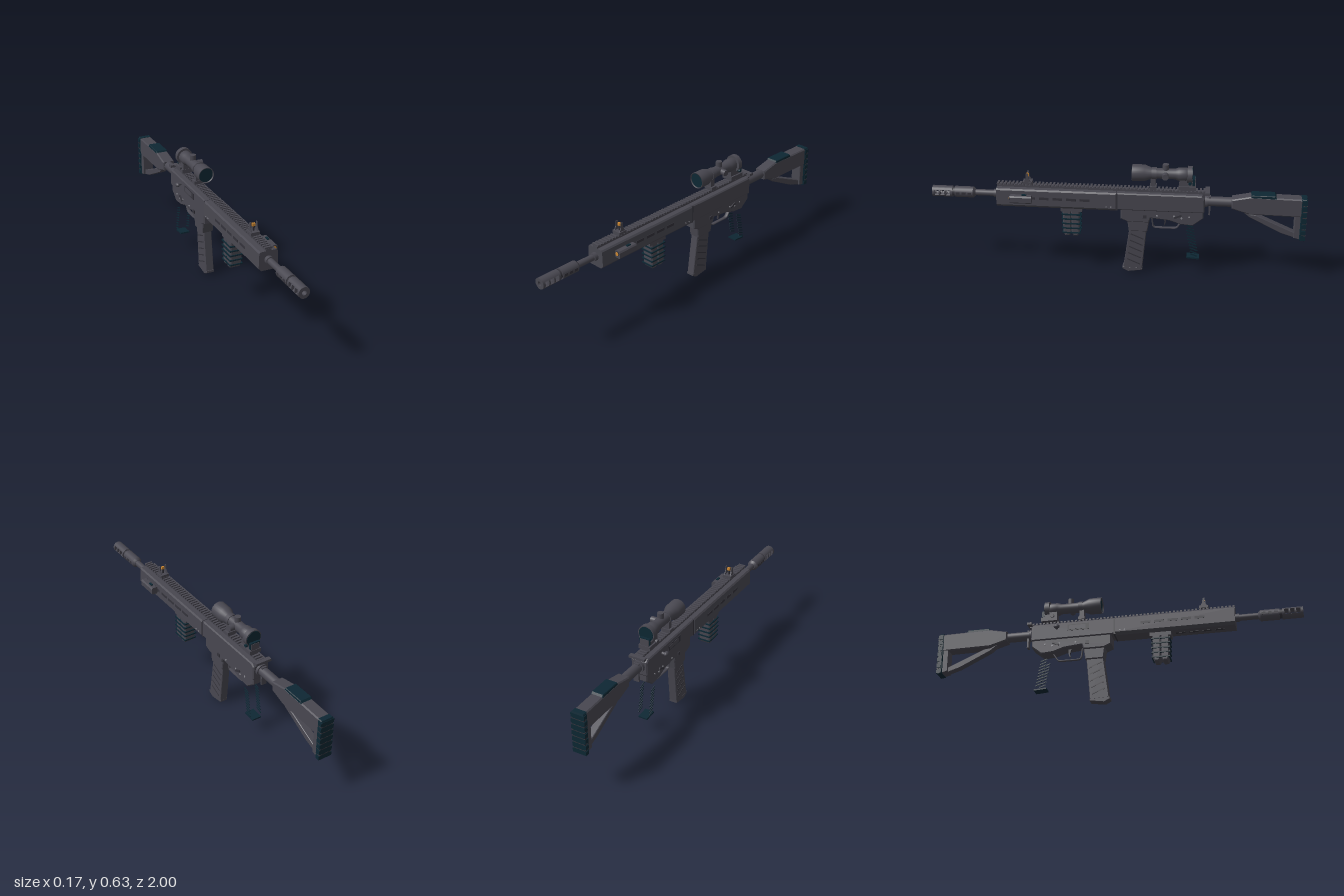
import * as THREE from 'three';

const mat = (name, color) => new THREE.MeshStandardMaterial({ name, color });

export function createModel() {
  const metal = mat('gunmetal', 0x484750);
  const dark = mat('darkSteel', 0x34333b);
  const teal = mat('darkRubber', 0x0d2733);
  const orange = mat('amber', 0xcb8732);
  const pale = mat('paleSteel', 0x8b8b92);

  const model = new THREE.Group();
  model.name = 'rifle';
  const CX = -0.007; // centre line of the rifle

  const add = (name, geo, m, x = 0, y = 0, z = 0) => {
    const mesh = new THREE.Mesh(geo, m);
    mesh.name = name;
    mesh.position.set(CX + x, y, z);
    model.add(mesh);
    return mesh;
  };
  const box = (name, m, w, h, d, x, y, z) => add(name, new THREE.BoxGeometry(w, h, d), m, x, y, z);
  // cylinder lying along an axis
  const cyl = (name, m, r1, r2, len, x, y, z, axis = 'z', seg = 24) => {
    const g = new THREE.CylinderGeometry(r1, r2, len, seg);
    if (axis === 'z') g.rotateX(Math.PI / 2);
    if (axis === 'x') g.rotateZ(-Math.PI / 2);
    return add(name, g, m, x, y, z);
  };
  const poly = pts => new THREE.Shape(pts.map(p => new THREE.Vector2(p[0], p[1])));
  // side outline of [z, y] points, extruded across the width
  const side = (name, m, pts, w, bevel = 0.004, x = 0) => {
    const g = new THREE.ExtrudeGeometry(poly(pts), {
      depth: w - 2 * bevel, bevelEnabled: bevel > 0, bevelSize: bevel, bevelThickness: bevel,
      bevelOffset: -bevel, bevelSegments: 1,
    });
    g.rotateY(-Math.PI / 2).translate(w / 2 - bevel, 0, 0);
    return add(name, g, m, x);
  };
  // front outline of [x, y] points, extruded from z0 to z1
  const front = (name, m, shape, z0, z1) =>
    add(name, new THREE.ExtrudeGeometry(shape, { depth: z1 - z0, bevelEnabled: false, curveSegments: 20 }), m, 0, 0, z0);
  // turned part along z, [radius, z] points running from back to front
  const turned = (name, m, pts, y) => {
    const g = new THREE.LatheGeometry(pts.map(p => new THREE.Vector2(p[0], p[1])), 28);
    g.rotateX(Math.PI / 2);
    const mesh = add(name, g, m, 0, y, 0);
    m.side = THREE.DoubleSide;
    return mesh;
  };

  // barrel and muzzle brake
  const BY = 0.428;
  cyl('barrel', metal, 0.017, 0.017, 0.16, 0, BY, 0.705);
  cyl('barrelCollar', metal, 0.022, 0.022, 0.03, 0, BY, 0.65);
  cyl('muzzleBody', metal, 0.03, 0.03, 0.1, 0, BY, 0.827);
  cyl('muzzleBodyRear', metal, 0.03, 0.019, 0.012, 0, BY, 0.771);
  cyl('muzzleNeck', dark, 0.025, 0.025, 0.016, 0, BY, 0.884);
  for (const s of [-1, 1]) for (let i = 0; i < 3; i++)
    box('muzzleSlot', dark, 0.004, 0.014, 0.02, s * 0.0287, BY, 0.795 + i * 0.032);
  const ring = inner => {
    const s = new THREE.Shape();
    s.absarc(0, BY, 0.03, 0, Math.PI * 2);
    const h = new THREE.Path();
    h.absarc(0, BY, inner, 0, Math.PI * 2, true);
    s.holes.push(h);
    return s;
  };
  for (const [a, b, r] of [[0.89, 0.902, 0.005], [0.924, 0.933, 0.016], [0.955, 0.964, 0.016], [0.986, 1, 0.0125]])
    front('brakeRing', metal, ring(r), a, b);
  for (const mid of [Math.PI / 2, -Math.PI / 2]) {
    const s = new THREE.Shape();
    s.absarc(0, BY, 0.03, mid - 1.05, mid + 1.05);
    s.absarc(0, BY, 0.02, mid + 1.05, mid - 1.05, true);
    front('brakeShell', metal, s, 0.895, 0.99);
  }

  // handguard with chamfered corners
  front('handguard', metal, poly([[-0.038, 0.371], [0.038, 0.371], [0.052, 0.386], [0.05, 0.467],
    [0.043, 0.475], [-0.043, 0.475], [-0.05, 0.467], [-0.052, 0.386]]), 0.004, 0.645);
  box('handguardSeam', dark, 0.094, 0.096, 0.012, 0, 0.424, 0);
  for (const s of [-1, 1]) {
    for (let i = 0; i < 5; i++) box('handguardSlot', dark, 0.004, 0.014, 0.052, s * 0.0505, BY, 0.46 - i * 0.0725);
    for (const z of [0.03, 0.055]) cyl('handguardScrew', pale, 0.004, 0.004, 0.004, s * 0.051, 0.396, z, 'x', 10);
  }
  for (let i = 0; i < 4; i++) box('lowerSlot', dark, 0.014, 0.003, 0.05, 0, 0.371, 0.56 - i * 0.07);

  // top rail with teeth
  box('railBase', metal, 0.03, 0.012, 1.125, 0, 0.48, 0.083);
  for (let i = 0; i < 56; i++) box('railTooth', metal, 0.042, 0.009, 0.011, 0, 0.4905, 0.639 - i * 0.02);

  // receiver, magazine well and trigger
  side('upperReceiver', metal, [[0, 0.378], [0, 0.475], [-0.45, 0.475], [-0.465, 0.46], [-0.465, 0.385], [-0.46, 0.378]], 0.094, 0.006);
  side('lowerReceiver', metal, [[-0.02, 0.39], [-0.02, 0.325], [-0.06, 0.308], [-0.172, 0.308], [-0.18, 0.335],
    [-0.28, 0.325], [-0.34, 0.305], [-0.405, 0.3], [-0.46, 0.345], [-0.46, 0.39]], 0.082, 0.005);
  side('magazineWell', metal, [[-0.055, 0.32], [-0.064, 0.25], [-0.163, 0.25], [-0.175, 0.32]], 0.064);
  const guard = new THREE.CatmullRomCurve3([[0.325, -0.185], [0.273, -0.192], [0.265, -0.205], [0.265, -0.31],
    [0.271, -0.322], [0.315, -0.35]].map(([y, z]) => new THREE.Vector3(0, y, z)), false, 'catmullrom', 0.1);
  add('triggerGuard', new THREE.TubeGeometry(guard, 24, 0.004, 6).scale(3, 1, 1), metal);
  side('trigger', dark, [[-0.245, 0.33], [-0.262, 0.33], [-0.262, 0.3], [-0.254, 0.28], [-0.25, 0.28], [-0.254, 0.3]], 0.012, 0);
  for (const s of [-1, 1]) {
    for (const [z, y] of [[-0.215, 0.352], [-0.305, 0.352], [-0.345, 0.342], [-0.385, 0.352]])
      cyl('receiverPin', pale, 0.005, 0.005, 0.004, s * 0.0415, y, z, 'x', 10);
    const lever = box('selector', dark, 0.008, 0.01, 0.04, s * 0.044, 0.352, -0.325);
    lever.rotation.x = 0.4;
    box('magazineCatch', dark, 0.008, 0.018, 0.02, s * 0.043, 0.345, -0.15);
  }
  box('ejectionPort', dark, 0.006, 0.036, 0.12, -0.0465, 0.438, -0.2);
  box('boltCover', metal, 0.009, 0.024, 0.09, -0.0465, 0.438, -0.205);
  cyl('boltHandle', metal, 0.008, 0.008, 0.03, -0.056, 0.442, -0.32, 'x', 14);
  const knob = add('boltKnob', new THREE.SphereGeometry(0.012, 14, 10), metal, -0.068, 0.442, -0.315);
  knob.scale.z = 1.4;
  box('chargingHandle', metal, 0.09, 0.014, 0.024, 0, 0.487, -0.477);
  box('handleStem', metal, 0.03, 0.012, 0.06, 0, 0.48, -0.45);

  // magazine
  side('magazine', metal, [[-0.068, 0.27], [-0.16, 0.27], [-0.137, 0.02], [-0.034, 0.024]], 0.046, 0.003);
  side('magazineFloor', metal, [[-0.03, 0.028], [-0.03, 0.016], [-0.06, 0], [-0.1, 0.006], [-0.138, 0.012], [-0.138, 0.024]], 0.046, 0.002);
  for (const s of [-1, 1]) for (let i = 0; i < 5; i++) {
    const rib = box('magazineRib', dark, 0.004, 0.006, 0.075, s * 0.0225, 0.215 - i * 0.038, -0.109 + i * 0.0045);
    rib.rotation.x = -0.4;
  }

  // fore grip with rubber ribs, split into two lobes
  box('foreGripMount', metal, 0.066, 0.025, 0.115, 0, 0.363, 0.245);
  for (const s of [-1, 1]) side('foreGrip', metal, [[0.246, 0.36], [0.246 + s * 0.046, 0.36], [0.246 + s * 0.044, 0.225],
    [0.246 + s * 0.034, 0.206], [0.246 + s * 0.012, 0.206], [0.246, 0.222]], 0.066, 0.006);
  for (let i = 0; i < 5; i++) box('foreGripRib', teal, 0.077 - i * 0.0008, 0.007, 0.102 - i * 0.001, 0, 0.334 - i * 0.027, 0.246);

  // pistol grip side slats and base plate
  for (const s of [-1, 1]) for (let i = 0; i < 9; i++) {
    const slat = box('gripSlat', teal, 0.003, 0.006, 0.038, s * 0.032, 0.263 - i * 0.0175, -0.39 - i * 0.0032);
    slat.rotation.x = -0.35;
  }
  const plate = box('gripBase', teal, 0.052, 0.008, 0.068, 0, 0.1, -0.41);
  plate.rotation.x = -0.08;

  // buffer tube and stock
  cyl('bufferTube', metal, 0.026, 0.026, 0.16, 0, 0.431, -0.53);
  cyl('castleNut', metal, 0.033, 0.033, 0.014, 0, 0.431, -0.472);
  box('slingPlate', metal, 0.03, 0.105, 0.01, 0, 0.408, -0.49);
  side('stockBody', metal, [[-0.605, 0.457], [-0.705, 0.478], [-0.975, 0.473], [-0.975, 0.372], [-0.7, 0.376], [-0.605, 0.405]], 0.068, 0.006);
  side('stockRear', metal, [[-0.938, 0.385], [-0.975, 0.385], [-0.975, 0.24], [-0.938, 0.25]], 0.062, 0.003);
  side('stockStrut', metal, [[-0.655, 0.395], [-0.7, 0.372], [-0.735, 0.368], [-0.945, 0.275], [-0.945, 0.246], [-0.87, 0.27], [-0.7, 0.355]], 0.04, 0.003);
  side('buttPad', teal, [[-0.968, 0.475], [-0.995, 0.475], [-0.999, 0.46], [-0.999, 0.24], [-0.992, 0.234], [-0.968, 0.238]], 0.07, 0.004);
  for (let i = 0; i < 7; i++) box('buttRib', teal, 0.077, 0.022, 0.024, 0, 0.455 - i * 0.034, -0.987);
  for (let i = 0; i < 6; i++) box('buttGroove', dark, 0.072, 0.004, 0.022, 0, 0.438 - i * 0.034, -0.9885);
  side('cheekRest', teal, [[-0.7, 0.468], [-0.71, 0.486], [-0.83, 0.486], [-0.842, 0.468]], 0.066, 0.003);

  // scope
  const SY = 0.579;
  turned('scopeBody', metal, [[0.026, -0.37], [0.036, -0.365], [0.036, -0.325], [0.028, -0.305], [0.028, -0.185],
    [0.044, -0.145], [0.045, -0.08], [0.041, -0.078], [0.04, -0.088]], SY);
  cyl('frontLens', teal, 0.0405, 0.0405, 0.004, 0, SY, -0.087);
  cyl('topTurret', metal, 0.017, 0.017, 0.04, 0, 0.612, -0.255, 'y', 16);
  cyl('sideTurret', metal, 0.017, 0.017, 0.04, 0.034, SY, -0.255, 'x', 16);
  cyl('scopeRing', metal, 0.032, 0.032, 0.026, 0, SY, -0.195);
  box('frontMount', metal, 0.034, 0.065, 0.026, 0, 0.525, -0.19);
  box('mountClamp', metal, 0.055, 0.016, 0.036, 0, 0.503, -0.19);
  // rear hood with its lens
  cyl('rearHood', metal, 0.046, 0.046, 0.026, 0, SY, -0.382);
  cyl('rearLens', teal, 0.041, 0.041, 0.006, 0, SY, -0.394);
  box('rearMount', metal, 0.05, 0.055, 0.085, 0, 0.53, -0.37);
  box('rearMountClamp', metal, 0.066, 0.022, 0.09, 0, 0.51, -0.37);
  box('rearMountPad', teal, 0.056, 0.035, 0.012, 0, 0.545, -0.404);
  cyl('mountKnob', teal, 0.008, 0.008, 0.016, 0.036, 0.543, -0.385, 'x', 12);
  cyl('clampScrew', metal, 0.01, 0.01, 0.012, -0.035, 0.525, -0.35, 'x', 12);

  // front sight
  box('sightBase', metal, 0.05, 0.014, 0.05, 0, 0.502, 0.48);
  for (const s of [-1, 1]) side('sightWing', metal,
    [[0.5, 0.505], [0.487, 0.53], [0.486, 0.556], [0.475, 0.556], [0.473, 0.53], [0.46, 0.505]], 0.005, 0, s * 0.018);
  box('sightPost', dark, 0.008, 0.03, 0.008, 0, 0.52, 0.48);
  box('sightBead', orange, 0.016, 0.015, 0.012, 0, 0.542, 0.48);

  // side light
  const light = poly([[0.054, 0.418], [0.06, 0.411], [0.086, 0.411], [0.092, 0.418], [0.092, 0.445], [0.086, 0.452], [0.06, 0.452], [0.054, 0.445]]);
  front('lightBody', metal, light, 0.45, 0.565);
  box('lightMount', metal, 0.014, 0.022, 0.06, 0.054, 0.43, 0.505);
  cyl('lightBezel', dark, 0.013, 0.013, 0.004, 0.073, 0.437, 0.566);
  cyl('lightLens', orange, 0.01, 0.01, 0.006, 0.073, 0.437, 0.567);
  box('lightButton', teal, 0.012, 0.007, 0.025, 0.073, 0.454, 0.49);

  return model;
}
